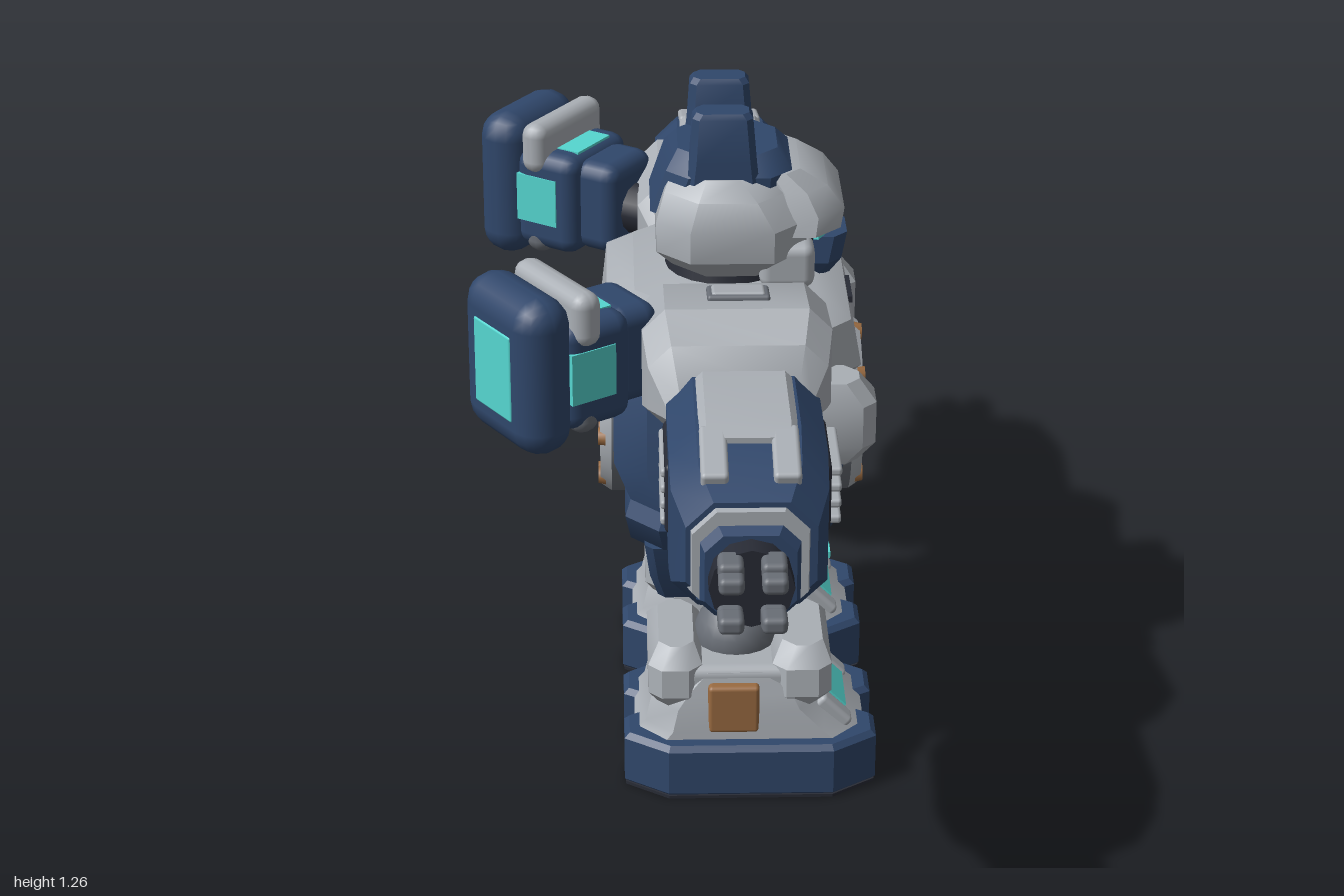
import * as THREE from 'three';
import { toCreasedNormals } from 'three/addons/utils/BufferGeometryUtils.js';
import { RoundedBoxGeometry } from 'three/addons/geometries/RoundedBoxGeometry.js';

const paint = (name, color) => Object.assign(new THREE.MeshStandardMaterial({ color }), { name });

export function createModel() {
  const root = new THREE.Group();
  root.name = 'robot';
  const navy = paint('navy armour', 0x30476b), grey = paint('light grey armour', 0xaaafb5);
  const steel = paint('steel', 0x696e76), dark = paint('dark joint', 0x282b35);
  const cyan = paint('cyan light', 0x55d6d0), brown = paint('bronze', 0x9a6b41);

  let parent = root;
  const add = (name, geo, mat, x = 0, y = 0, z = 0) => {
    const m = new THREE.Mesh(geo, mat);
    m.name = name;
    m.position.set(x, y, z);
    parent.add(m);
    return m;
  };
  const group = (name, fn) => {
    const g = new THREE.Group(), old = parent;
    g.name = name;
    old.add(g);
    parent = g;
    fn(g);
    parent = old;
  };
  const box = (w, h, d, r = 0.015) => new RoundedBoxGeometry(w, h, d, 2, Math.min(r, w / 2.1, h / 2.1, d / 2.1));
  const plate = (w, h, d) => new THREE.BoxGeometry(w, h, d);
  const cyl = (r1, r2, h, axis = 'y', n = 20) => {
    const g = new THREE.CylinderGeometry(r1, r2, h, n);
    if (axis === 'z') g.rotateX(Math.PI / 2);
    if (axis === 'x') g.rotateZ(-Math.PI / 2);
    return g;
  };
  const lathe = pts => toCreasedNormals(new THREE.LatheGeometry(pts.map(p => new THREE.Vector2(...p)), 32), 0.5);

  // Solid through chamfered rectangles [t, x0, x1, v0, v1] along y (v = z) or z (v = y)
  const loft = (axis, sections, c = 0.04) => {
    const pos = [], idx = [], n = 8, rows = sections.length;
    for (const [t, a, b, d, e] of sections) {
      const k = Math.min(c, Math.abs(b - a) / 3, Math.abs(e - d) / 3);
      const ring = [[a + k, d], [b - k, d], [b, d + k], [b, e - k], [b - k, e], [a + k, e], [a, e - k], [a, d + k]];
      for (const [u, v] of ring) pos.push(...(axis === 'y' ? [u, t, v] : [u, v, t]));
    }
    for (let i = 0; i < rows - 1; i++) for (let j = 0; j < n; j++) {
      const p = i * n + j, q = i * n + (j + 1) % n;
      idx.push(p, q, p + n, q, q + n, p + n);
    }
    const o = (rows - 1) * n;
    for (let j = 1; j < n - 1; j++) idx.push(0, j + 1, j, o, o + j, o + j + 1);
    // Turn the faces outward whichever way the sections run
    const up = sections[rows - 1][0] > sections[0][0];
    if (up !== (axis === 'z')) idx.reverse();
    const g = new THREE.BufferGeometry();
    g.setAttribute('position', new THREE.Float32BufferAttribute(pos, 3));
    g.setIndex(idx);
    return toCreasedNormals(g, 0.6);
  };
  const sym = rows => rows.map(([y, a, b, w, c = 0]) => [y, a, b, c - w, c + w]);
  const side = (s, rows) => rows.map(([z, ...r]) => [s * z, ...r]);

  // Torso
  group('torso', () => {
    add('body', loft('y', sym([[0.41, -0.04, 0.24, 0.17], [0.465, -0.09, 0.27, 0.27], [0.53, -0.1, 0.29, 0.31],
      [0.56, -0.09, 0.28, 0.3], [0.63, -0.12, 0.3, 0.29], [0.76, -0.12, 0.3, 0.25], [0.86, -0.1, 0.28, 0.22]]), 0.06), navy);
    add('chestPlate', loft('y', sym([[0.76, -0.11, 0.31, 0.21], [0.8, -0.14, 0.33, 0.25], [0.89, -0.13, 0.31, 0.25],
      [0.93, -0.08, 0.25, 0.2]]), 0.07), grey);
    add('chestSlot', plate(0.008, 0.012, 0.1), dark, 0.318, 0.87, 0);
    add('pelvisCore', loft('y', sym([[0.33, -0.02, 0.2, 0.1], [0.45, -0.04, 0.24, 0.15]])), dark);
    add('pelvisBack', loft('y', sym([[0.35, -0.05, 0.03, 0.11], [0.45, -0.07, 0.05, 0.2]], 0.02)), navy);
    for (let i = -2; i <= 2; i++) add('pelvisRib', box(0.03, 0.1, 0.014, 0.006), steel, 0.225, 0.39, i * 0.045);
    add('neck', cyl(0.1, 0.12, 0.08), dark, 0.09, 0.94, 0);
    // Round reactor on the chest and on the back
    for (const d of [1, -1]) group(d > 0 ? 'chestReactor' : 'backReactor', g => {
      g.position.set(d > 0 ? 0.285 : -0.09, 0.64, 0);
      g.rotation.z = -d * Math.PI / 2;
      add('reactorBarrel', lathe([[0.166, -0.08], [0.166, 0.034]]), steel);
      add('reactorRing', lathe([[0.166, 0.034], [0.152, 0.055], [0.12, 0.055], [0.104, 0.03]]), grey);
      add('reactorLens', new THREE.SphereGeometry(0.108, 28, 14).scale(1, 0.28, 1), cyan, 0, 0.026, 0);
      for (let i = 0; i < 8; i++) {
        const a = i * Math.PI / 4;
        add('reactorBolt', cyl(0.016, 0.019, 0.014, 'y', 10), brown, 0.142 * Math.cos(a), 0.052, 0.142 * Math.sin(a));
      }
    });
  });

  // Head
  group('head', () => {
    add('helmet', loft('y', sym([[0.95, -0.01, 0.2, 0.12], [1.0, -0.04, 0.23, 0.18], [1.06, -0.04, 0.23, 0.185],
      [1.11, -0.025, 0.2, 0.165], [1.14, -0.01, 0.17, 0.13]]), 0.06), grey);
    add('crown', loft('y', sym([[1.06, -0.05, 0.2, 0.115], [1.14, -0.022, 0.205, 0.12], [1.172, 0, 0.18, 0.09]])), navy);
    add('brow', loft('y', sym([[1.037, 0.15, 0.293, 0.15], [1.07, 0.15, 0.3, 0.14], [1.11, 0.15, 0.27, 0.12],
      [1.14, 0.14, 0.22, 0.1]]), 0.05), grey);
    add('face', box(0.1, 0.1, 0.19), dark, 0.195, 1.0, 0);
    add('jaw', loft('y', sym([[0.915, 0.17, 0.28, 0.045], [0.95, 0.17, 0.3, 0.065], [1.0, 0.17, 0.31, 0.06]]), 0.025), navy);
    for (const s of [1, -1]) {
      add('eye', plate(0.009, 0.034, 0.1), cyan, 0.266, 1.021, s * 0.05).rotation.set(-s * 0.16, -s * 0.35, 0);
      add('cheek', box(0.1, 0.085, 0.075, 0.02), grey, 0.195, 0.98, s * 0.12);
      add('crestFin', loft('y', sym([[1.08, 0.01, 0.15, 0.038, s * 0.09], [1.17, 0.02, 0.14, 0.035, s * 0.09],
        [1.25, 0.025, 0.133, 0.031, s * 0.09], [1.26, 0.032, 0.126, 0.025, s * 0.09]]), 0.012), navy);
    }
  });

  // Arm: shoulder, forearm and four-claw hand
  const arm = s => group('arm', () => {
    add('shoulder', loft('z', side(s, [[0.18, -0.04, 0.22, 0.82, 0.94], [0.23, -0.07, 0.26, 0.79, 0.985],
      [0.4, -0.07, 0.26, 0.79, 1.012], [0.46, -0.06, 0.25, 0.81, 0.97], [0.505, -0.03, 0.22, 0.83, 0.9]])), grey);
    add('shoulderHatch', box(0.11, 0.014, 0.075, 0.006), steel, 0.1, 1.0, s * 0.31).rotation.x = -s * 0.16;
    add('hatchCover', box(0.094, 0.014, 0.06, 0.006), grey, 0.1, 1.004, s * 0.31).rotation.x = -s * 0.16;
    add('shoulderRivet', plate(0.008, 0.012, 0.03), dark, 0.26, 0.93, s * 0.3);
    add('armpitBlock', loft('y', sym([[0.66, 0.2, 0.32, 0.04, s * 0.265], [0.7, 0.18, 0.35, 0.055, s * 0.265],
      [0.78, 0.18, 0.35, 0.055, s * 0.265], [0.82, 0.2, 0.32, 0.04, s * 0.265]]), 0.025), grey);
    add('upperArm', cyl(0.075, 0.075, 0.26, 'z'), dark, 0.1, 0.76, s * 0.34);
    add('elbowRing', cyl(0.095, 0.095, 0.06, 'z', 16), grey, 0.1, 0.75, s * 0.39);
    add('forearm', loft('z', side(s, [[0.42, 0, 0.2, 0.67, 0.87], [0.48, -0.03, 0.235, 0.64, 0.925],
      [0.7, -0.03, 0.235, 0.627, 0.935], [0.79, -0.028, 0.232, 0.65, 0.91], [0.865, -0.005, 0.21, 0.69, 0.88]]), 0.045), navy);
    add('forearmTopPlate', loft('z', side(s, [[0.5, 0.02, 0.185, 0.88, 0.941], [0.7, 0.02, 0.185, 0.88, 0.946],
      [0.74, 0.02, 0.185, 0.86, 0.934]]), 0.012), grey);
    for (const x of [0.043, 0.162]) add('topPlateTab', box(0.046, 0.03, 0.13, 0.008), grey, x, 0.913, s * 0.765).rotation.x = s * 0.25;
    // Louvres: raised on the front face, nearly flush on the back face
    for (const [x, slatX, w] of [[0.232, 0.236, 0.052], [-0.024, -0.032, 0.022]]) {
      add('ventPanel', box(0.024, 0.13, 0.18, 0.01), dark, x, 0.79, s * 0.595);
      for (let i = 0; i < 4; i++) add('ventSlat', box(w, 0.016, 0.16, 0.006), grey, slatX, 0.745 + i * 0.03, s * 0.595);
    }
    add('armLight', plate(0.008, 0.012, 0.035), cyan, 0.232, 0.74, s * 0.77);
    // Light rim round the end of the forearm
    add('cuffRim', loft('z', side(s, [[0.83, -0.005, 0.205, 0.67, 0.88], [0.875, 0.005, 0.195, 0.68, 0.868]])), grey);
    add('cuff', loft('z', side(s, [[0.86, 0.012, 0.188, 0.67, 0.85], [0.895, 0.025, 0.175, 0.685, 0.835]]), 0.03), navy);
    add('wrist', cyl(0.07, 0.07, 0.06, 'z', 12), dark, 0.1, 0.76, s * 0.905);
    for (const x of [0.065, 0.135]) for (const v of [1, -1]) {
      add('clawKnuckle', box(0.042, 0.034, 0.055, 0.01), steel, x, 0.76 + v * 0.046, s * 0.945);
      add('clawTip', box(0.042, 0.03, 0.045, 0.01), steel, x, 0.76 + v * 0.036, s * 0.977);
    }
  });

  // Thruster pod behind the shoulder; local +x points outward
  const pod = s => {
    add('podStrut', cyl(0.05, 0.05, 0.14, 'x', 12), dark, -0.08, 0.91, s * 0.31).rotation.y = s * 0.58;
    group('thrusterPod', g => {
      g.position.set(-0.25, 0.935, s * 0.42);
      g.rotation.y = s * (Math.PI + 0.585);
      add('podShell', box(0.105, 0.29, 0.23, 0.05), navy, 0.038, 0, 0);
      add('podLens', box(0.01, 0.16, 0.115, 0.004), cyan, 0.088, 0, 0);
      add('podStrap', box(0.055, 0.1, 0.22, 0.025), grey, -0.042, 0.092, 0);
      add('podStrapLower', box(0.055, 0.06, 0.2, 0.025), steel, -0.042, -0.095, 0);
      add('podHousing', box(0.14, 0.2, 0.2, 0.03), navy, -0.065, -0.015, 0);
      add('podNeck', box(0.1, 0.18, 0.15, 0.03), navy, -0.16, -0.015, 0);
      for (const v of [1, -1]) add('podSideLight', plate(0.09, 0.095, 0.009), cyan, -0.05, -0.01, v * 0.098);
      add('podTopLight', plate(0.05, 0.008, 0.11), cyan, -0.092, 0.083, 0);
    });
  };

  // Leg and foot
  const leg = s => group('leg', () => {
    const c = s * 0.21;
    add('hipSkirt', loft('y', sym([[0.345, -0.04, 0.22, 0.02, s * 0.205], [0.4, -0.055, 0.235, 0.03, s * 0.225],
      [0.475, -0.065, 0.25, 0.045, s * 0.23]]), 0.015), navy);
    add('shin', cyl(0.045, 0.05, 0.18), dark, 0.12, 0.37, s * 0.165);
    add('kneeRing', cyl(0.055, 0.055, 0.03), steel, 0.14, 0.4, s * 0.16);
    add('ankleDome', new THREE.SphereGeometry(0.078, 20, 12), steel, 0.105, 0.255, s * 0.2);
    add('boot', loft('y', sym([[0.1, -0.085, 0.345, 0.14, c], [0.125, -0.065, 0.315, 0.137, c], [0.17, -0.055, 0.27, 0.132, c],
      [0.2, -0.035, 0.255, 0.125, c], [0.24, 0, 0.2, 0.115, c]]), 0.05), grey);
    for (const [a, b] of [[-0.06, 0.04], [0.17, 0.28]])
      add('bootCollar', loft('y', sym([[0.165, a + 0.02, b - 0.02, 0.11, c], [0.195, a, b, 0.13, c], [0.25, a, b, 0.125, c],
        [0.282, a + 0.02, b - 0.015, 0.09, c]]), 0.025), grey);
    add('bootSide', box(0.22, 0.07, 0.235, 0.02), grey, 0.11, 0.215, c);
    add('sidePanel', box(0.095, 0.098, 0.03, 0.008), brown, 0.098, 0.172, c + s * 0.124);
    add('toeLight', plate(0.009, 0.045, 0.12), cyan, 0.293, 0.148, c).rotation.z = 0.785;
    for (const v of [1, -1]) add('toeGuard', box(0.03, 0.08, 0.04, 0.01), grey, 0.285, 0.143, c + v * 0.085).rotation.z = 0.785;
    // Octagonal sole with a notch in the toe and heel, dark underneath
    const ring = [[0.2, 0.035], [0.225, 0.05], [0.225, 0.11], [0.15, 0.16]];
    const pts = [...ring, ...ring.map(([x, y]) => [-x, y]).reverse(), ...ring.map(([x, y]) => [-x, -y]), ...ring.map(([x, y]) => [x, -y]).reverse()];
    const outline = new THREE.Shape(pts.map(p => new THREE.Vector2(...p)));
    const sole = new THREE.ExtrudeGeometry(outline, { depth: 0.088, bevelThickness: 0.01, bevelSize: 0.01, bevelSegments: 1 });
    add('sole', sole.rotateX(-Math.PI / 2), navy, 0.13, 0.013, c);
    const tread = new THREE.ExtrudeGeometry(outline, { depth: 0.006, bevelThickness: 0.001, bevelSize: 0.008, bevelSegments: 1 });
    add('soleTread', tread.rotateX(-Math.PI / 2), dark, 0.13, 0.001, c);
  });

  for (const s of [1, -1]) {
    arm(s);
    pod(s);
    leg(s);
    add('bodyLight', plate(0.008, 0.018, 0.035), cyan, 0.288, 0.55, s * 0.225);
  }
  return root;
}
